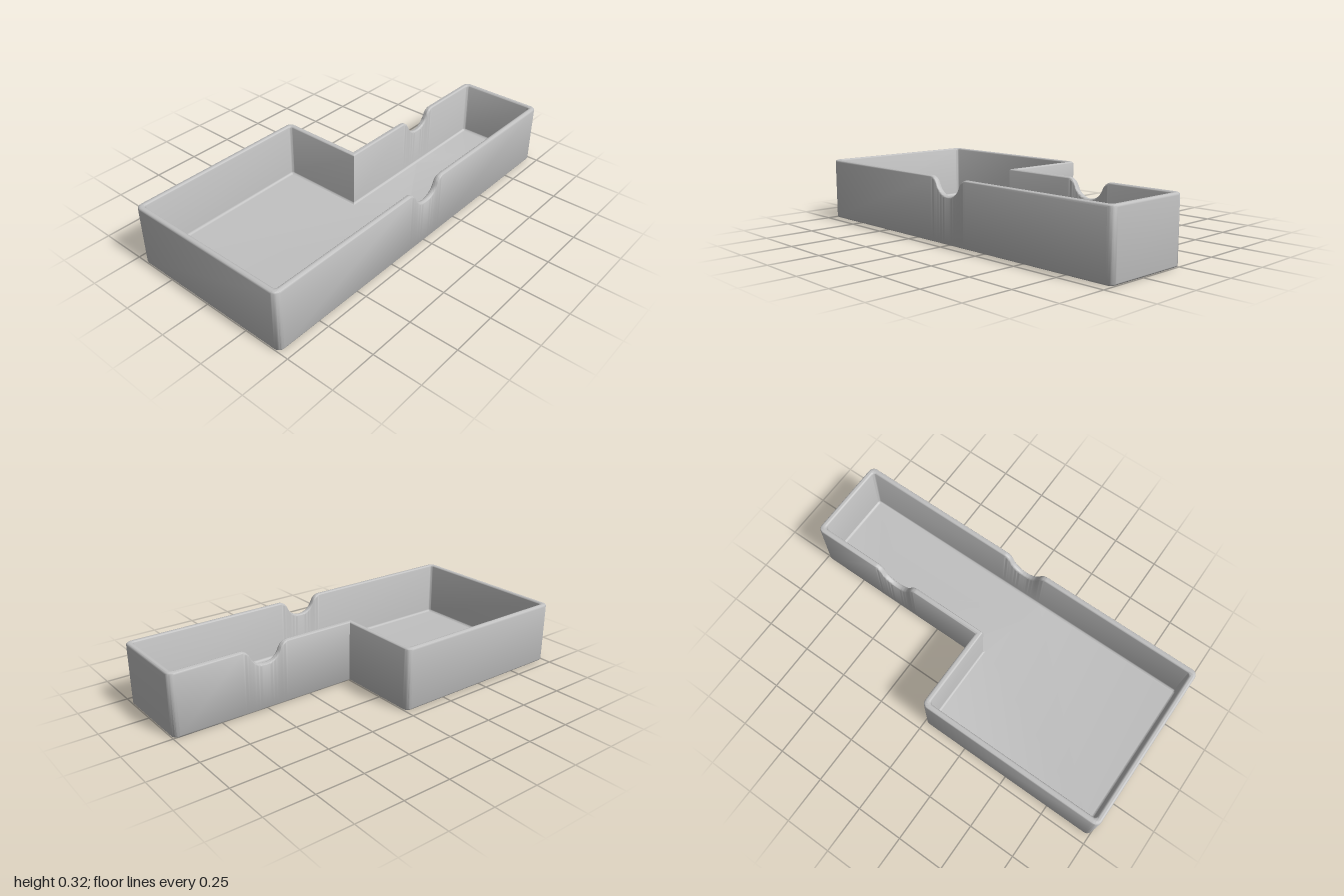
import * as THREE from 'three';
import { toCreasedNormals } from 'three/addons/utils/BufferGeometryUtils.js';

const HALF_W = 0.453, HEIGHT = 0.325, WALL = 0.03, FLOOR = 0.03;
const STEP_X = -0.01;            // outer face of the narrow arm
const RIM_R = 0.012, FOOT_R = 0.01, COVE_R = 0.012;
const NOTCH_R = 0.09, NOTCH_FILLET = 0.05;
const NOTCH_HALF = Math.sqrt((NOTCH_R + NOTCH_FILLET) ** 2 - NOTCH_FILLET ** 2);

// Depth of a finger notch at distance t from its centre: round scoop with filleted lips
function notchDepth(t) {
  t = Math.abs(t);
  if (t >= NOTCH_HALF) return 0;
  if (t < NOTCH_HALF * NOTCH_R / (NOTCH_R + NOTCH_FILLET)) return Math.sqrt(NOTCH_R ** 2 - t * t);
  return NOTCH_FILLET - Math.sqrt(NOTCH_FILLET ** 2 - (NOTCH_HALF - t) ** 2);
}

// L-shaped outline inset by d, as points {x, z, dip}
function outline(d) {
  const r = 0.03 - d / 2;
  const corners = [
    { p: [-HALF_W + d, 1 - d] },
    { p: [HALF_W - d, 1 - d], notch: 0 },
    { p: [HALF_W - d, -1 + d] },
    { p: [STEP_X + d, -1 + d], notch: -0.5 },
    { p: [STEP_X + d, d], sharp: true },
    { p: [-HALF_W + d, d] },
  ];
  const dir = (a, b) => new THREE.Vector2(b[0] - a[0], b[1] - a[1]).normalize();
  const pts = [];
  corners.forEach(({ p, notch, sharp }, i) => {
    const next = corners[(i + 1) % 6].p;
    const u = dir(corners[(i + 5) % 6].p, p), v = dir(p, next);
    if (sharp) pts.push({ x: p[0], z: p[1], dip: 0 });
    else for (let k = 0; k <= 6; k++) {
      const a = k / 6 * Math.PI / 2, s = Math.sin(a) - 1, c = 1 - Math.cos(a);
      pts.push({ x: p[0] + r * (u.x * s + v.x * c), z: p[1] + r * (u.y * s + v.y * c), dip: 0 });
    }
    if (notch !== undefined) for (let k = 0; k <= 40; k++) {
      const t = (k / 20 - 1) * NOTCH_HALF;
      pts.push({ x: p[0], z: notch + t * v.y, dip: notchDepth(t) });
    }
  });
  return pts;
}

// Wall section from the foot, over the rim and down to the floor: [inset, y, follows notch]
function wallSection() {
  const rows = [];
  const arc = (cd, cy, r, from, to, dips) => {
    for (let k = 0; k <= 4; k++) {
      const a = (from + (to - from) * k / 4) * Math.PI / 180;
      rows.push([cd + r * Math.cos(a), cy + r * Math.sin(a), dips]);
    }
  };
  arc(FOOT_R, FOOT_R, FOOT_R, 270, 180, 0);
  arc(RIM_R, HEIGHT - RIM_R, RIM_R, 180, 90, 1);
  arc(WALL - RIM_R, HEIGHT - RIM_R, RIM_R, 90, 0, 1);
  arc(WALL + COVE_R, FLOOR + COVE_R, COVE_R, 180, 270, 0);
  return rows;
}

function trayGeometry() {
  const rows = wallSection(), rings = rows.map(([d]) => outline(d));
  const n = rings[0].length, last = rows.length - 1;
  const positions = [], index = [];
  rings.forEach((ring, k) => ring.forEach(({ x, z, dip }) =>
    positions.push(x, rows[k][1] - rows[k][2] * dip, z)));
  for (let k = 0; k < last; k++) for (let i = 0; i < n; i++) {
    const j = (i + 1) % n, a = k * n + i, b = k * n + j;
    index.push(a, b, b + n, a, b + n, a + n);
  }
  // Underside and floor
  const cap = (k, flip) => {
    const flat = rings[k].map(({ x, z }) => new THREE.Vector2(x, -z));
    THREE.ShapeUtils.triangulateShape(flat, []).forEach(([a, b, c]) =>
      index.push(k * n + a, k * n + (flip ? c : b), k * n + (flip ? b : c)));
  };
  cap(0, true);
  cap(last, false);
  const geo = new THREE.BufferGeometry();
  geo.setAttribute('position', new THREE.Float32BufferAttribute(positions, 3));
  geo.setIndex(index);
  return toCreasedNormals(geo, 0.7);
}

export function createModel() {
  const grey = new THREE.MeshStandardMaterial({ color: 0xc0c0c0 });
  grey.name = 'light grey';
  const tray = new THREE.Mesh(trayGeometry(), grey);
  tray.name = 'tray';
  const model = new THREE.Group();
  model.name = 'lShapedTray';
  model.add(tray);
  return model;
}
